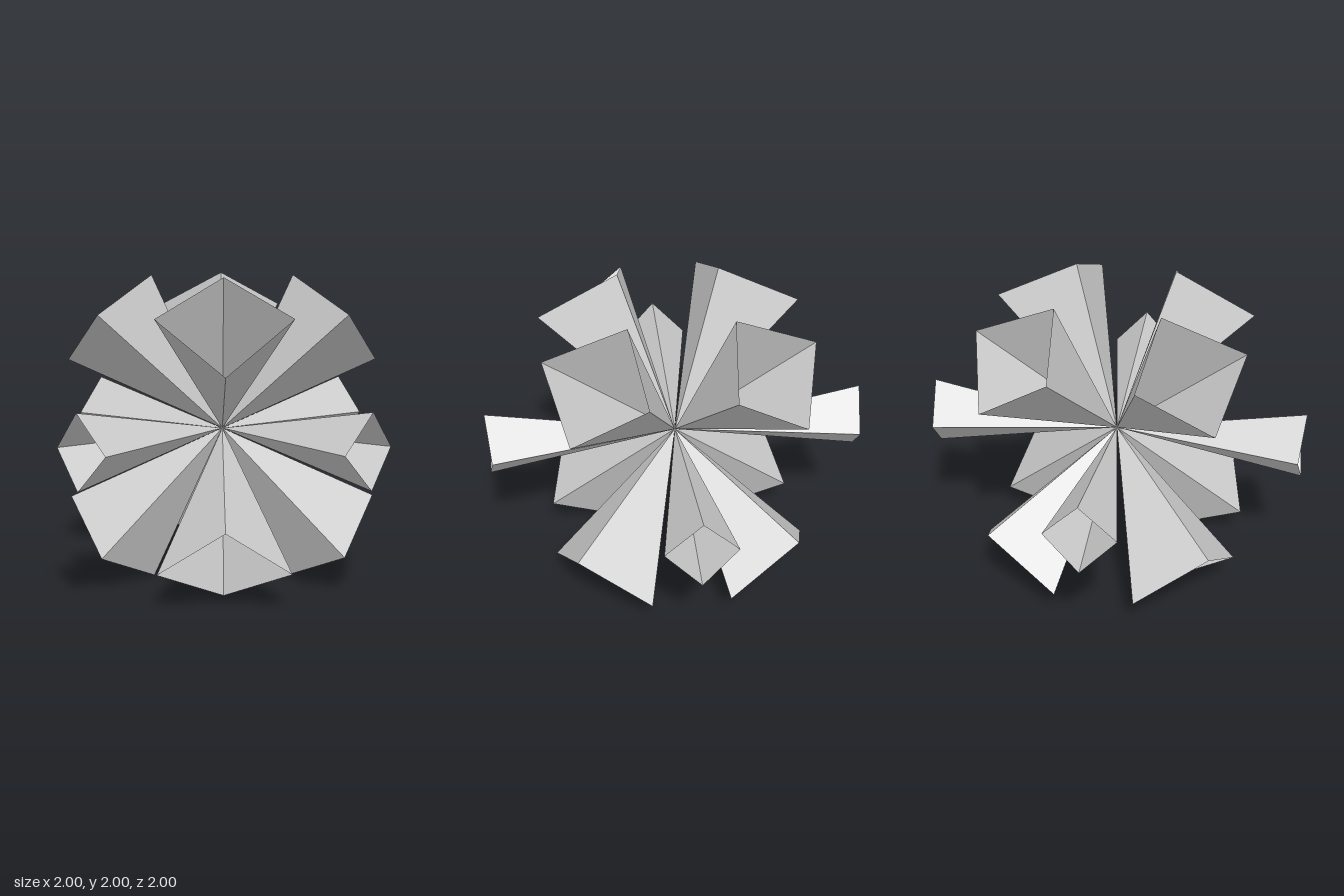
import * as THREE from 'three';

const material = new THREE.MeshStandardMaterial({
  color: 0xcccccc, flatShading: true, side: THREE.DoubleSide,
});

// Hollow four-sided spike: apex at the origin, open rim towards +x +y.
function spikeGeometry(near, mid, half) {
  const apex = new THREE.Vector3();
  const rim = [
    new THREE.Vector3(1, near, 0),
    new THREE.Vector3(mid, mid, -half),
    new THREE.Vector3(near, 1, 0),
    new THREE.Vector3(mid, mid, half),
  ];
  const points = [];
  rim.forEach((p, i) => points.push(apex, rim[(i + 1) % 4], p));
  const geometry = new THREE.BufferGeometry().setFromPoints(points);
  geometry.computeVertexNormals();
  return geometry;
}

// Four spikes a quarter turn apart in the xy plane.
function spikeRing(name, geometry) {
  const ring = new THREE.Group();
  ring.name = name;
  for (let i = 0; i < 4; i++) {
    const spike = new THREE.Mesh(geometry, material);
    spike.name = 'spike';
    spike.rotation.z = i * Math.PI / 2;
    ring.add(spike);
  }
  return ring;
}

export function createModel() {
  const model = new THREE.Group();
  model.name = 'spikeBurst';

  const wide = spikeGeometry(0.455, 0.77, 0.41);
  const narrow = spikeGeometry(0.687, 0.864, 0.235);

  // Two upright rings of wide spikes, crossing at right angles
  const sideRing = spikeRing('sideRing', wide);
  const frontRing = spikeRing('frontRing', wide);
  frontRing.rotation.y = Math.PI / 2;

  // Level ring of narrow spikes
  const levelRing = spikeRing('levelRing', narrow);
  levelRing.rotation.x = Math.PI / 2;

  model.add(sideRing, frontRing, levelRing);
  for (const ring of model.children) ring.position.y = 1;
  return model;
}
